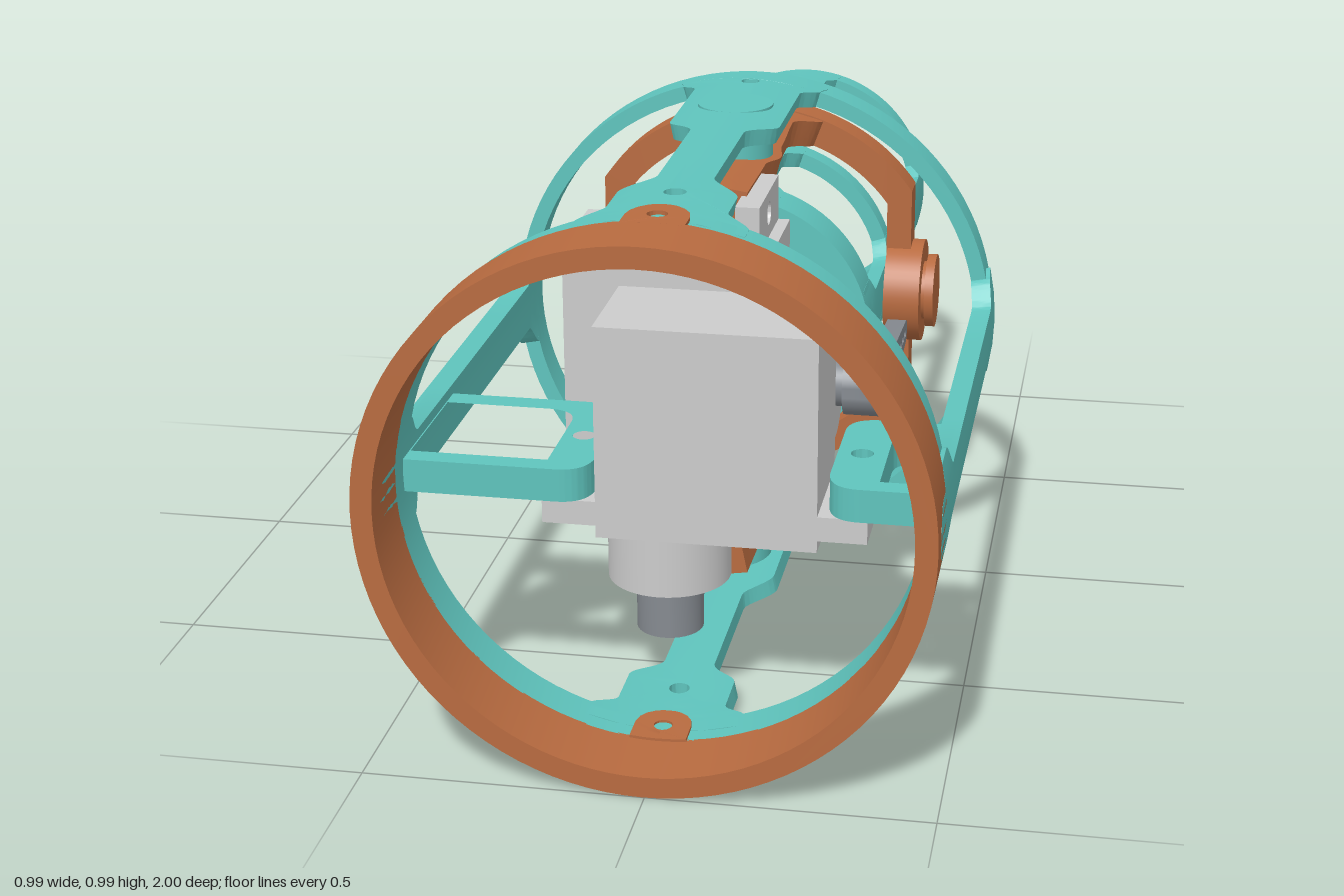
import * as THREE from 'three';
import { toCreasedNormals } from 'three/addons/utils/BufferGeometryUtils.js';

const mat = (color) => new THREE.MeshStandardMaterial({ color });

export function createModel() {
  const model = new THREE.Group();
  const teal = mat(0x5fc4bd), orange = mat(0xb86b40), grey = mat(0xcccccc), dark = mat(0x858a90);

  const add = (parent, name, geo, material, x = 0, y = 0, z = 0) => {
    const m = new THREE.Mesh(geo, material);
    m.name = name;
    m.position.set(x, y, z);
    parent.add(m);
    return m;
  };
  const group = (name, x = 0, y = 0, z = 0) => {
    const g = new THREE.Group();
    g.name = name;
    g.position.set(x, y, z);
    model.add(g);
    return g;
  };
  const circle = (x, y, r) => new THREE.Path().absarc(x, y, r, 0, Math.PI * 2, true);
  const extrude = (shape, depth, curveSegments = 32) => toCreasedNormals(
    new THREE.ExtrudeGeometry(shape, { depth, bevelEnabled: false, curveSegments }), 0.5);
  const box = (x0, x1, y0, y1, z0, z1) =>
    new THREE.BoxGeometry(x1 - x0, y1 - y0, z1 - z0)
      .translate((x0 + x1) / 2, (y0 + y1) / 2, (z0 + z1) / 2);
  const rod = (r, y0, y1) =>
    new THREE.CylinderGeometry(r, r, y1 - y0, 48).translate(0, (y0 + y1) / 2, 0);

  // Flat annulus around the z axis (ri = 0 gives a disc)
  const ring = (ro, ri, z0, z1) => {
    const s = new THREE.Shape().absarc(0, 0, ro, 0, Math.PI * 2);
    if (ri) s.holes.push(circle(0, 0, ri));
    return extrude(s, z1 - z0, 48).translate(0, 0, z0);
  };

  // Split every triangle in four, so that flat plates can be bent
  const subdivide = (pts) => {
    const out = [];
    for (let i = 0; i < pts.length; i += 3) {
      const [a, b, c] = pts.slice(i, i + 3);
      const ab = a.clone().lerp(b, 0.5), bc = b.clone().lerp(c, 0.5), ca = c.clone().lerp(a, 0.5);
      out.push(a, ab, ca, ab, b, bc, ca, bc, c, ab, bc, ca);
    }
    return out;
  };

  // Strip along z, wrapped on a cylinder at the given angle.
  // profile: [z, half width] stations blended smoothly; holes: [z, radius]
  const strip = (ri, ro, angle, profile, holes = []) => {
    const side = [];
    for (let i = 0; i < profile.length - 1; i++) {
      const [z0, w0] = profile[i], [z1, w1] = profile[i + 1];
      const n = w0 === w1 || z1 - z0 < 0.03 ? 1 : 8;
      for (let k = 0; k < n; k++) {
        const t = k / n;
        side.push(new THREE.Vector2(w0 + (w1 - w0) * t * t * (3 - 2 * t), z0 + (z1 - z0) * t));
      }
    }
    const [zEnd, wEnd] = profile[profile.length - 1];
    side.push(new THREE.Vector2(wEnd, zEnd));
    const other = side.map((p) => new THREE.Vector2(-p.x, p.y)).reverse();
    const shape = new THREE.Shape([...side, ...other]);
    holes.forEach(([z, r]) => shape.holes.push(circle(0, z, r)));
    const flat = new THREE.ExtrudeGeometry(shape, { depth: ro - ri, bevelEnabled: false, curveSegments: 10 });
    const p = flat.attributes.position;
    const corners = [];
    for (let i = 0; i < p.count; i++) corners.push(new THREE.Vector3().fromBufferAttribute(p, i));
    const bent = subdivide(subdivide(corners)).map((v) => {
      const r = ri + v.z, a = angle + v.x / ro;
      return new THREE.Vector3(r * Math.cos(a), r * Math.sin(a), v.y);
    });
    return toCreasedNormals(new THREE.BufferGeometry().setFromPoints(bent), 0.5);
  };
  // Half-round end of a tab
  const roundEnd = (z, w, dir) => [0.4, 0.7, 0.9, 0.98].map((t) => [z + dir * w * t, w * Math.sqrt(1 - t * t)]);

  // Outer cage: two rings joined by four strips
  const cage = group('outerCage', -0.003, 0.495);
  add(cage, 'cageRearRing', ring(0.485, 0.455, -0.183, -0.113), teal);
  add(cage, 'cageFrontRing', ring(0.485, 0.455, 0.785, 0.865), teal);
  const padProfile = [[-0.15, 0.15], [-0.115, 0.14], [-0.06, 0.105], [0.19, 0.105], [0.27, 0.05],
    [0.57, 0.05], [0.65, 0.105], [0.74, 0.105], [0.79, 0.15], [0.83, 0.15]];
  const railProfile = [[-0.15, 0.11], [-0.115, 0.1], [-0.06, 0.05], [0.73, 0.05], [0.79, 0.1],
    [0.862, 0.1], [0.866, 0.052], [0.9, 0.052], ...roundEnd(0.9, 0.052, 1)];
  for (const a of [0, Math.PI]) {
    add(cage, 'pivotRail', strip(0.455, 0.486, a + Math.PI / 2, padProfile, [[-0.1, 0.018], [0.67, 0.02]]), teal);
    add(cage, 'sideRail', strip(0.455, 0.493, a, railProfile), teal);
    add(cage, 'pivotPin', rod(0.072, 0.335, 0.486), teal, 0, 0, 0.07).rotation.x = a;
  }

  // Front collar with two screw tabs
  add(cage, 'frontCollar', ring(0.493, 0.455, 0.862, 1), orange);
  for (const a of [Math.PI / 2, -Math.PI / 2]) {
    const tab = [...roundEnd(0.82, 0.055, -1).reverse(), [0.82, 0.055], [0.87, 0.055]];
    add(cage, 'collarTab', strip(0.45, 0.493, a, tab, [[0.82, 0.018]]), orange);
  }

  // Looped brackets carrying the front servo, drawn in plan (shape y = -z)
  const bracket = (name, inner, bar, outer) => {
    const d = Math.sign(outer - inner), r = 0.06 * d;
    const s = new THREE.Shape();
    s.moveTo(outer, -0.5).lineTo(inner + r, -0.5);
    s.quadraticCurveTo(inner, -0.5, inner, -0.56);
    s.lineTo(inner, -0.75).quadraticCurveTo(inner, -0.82, inner + r, -0.82);
    s.lineTo(outer, -0.82).closePath();
    const h = new THREE.Path(), i = inner + bar * d, o = outer - 0.01 * d;
    h.moveTo(o, -0.545).lineTo(i + r, -0.545).quadraticCurveTo(i, -0.545, i, -0.6);
    h.lineTo(i, -0.78).lineTo(o, -0.78).closePath();
    s.holes.push(h, circle(inner + 0.043 * d, -0.66, 0.02));
    add(model, name, extrude(s, 0.06).rotateX(-Math.PI / 2), teal, 0, 0.46, 0);
  };
  bracket('rightServoBracket', -0.13, 0.08, -0.465);
  bracket('leftServoBracket', 0.28, 0.088, 0.46);

  // Gimbal yoke: flat-sided ring with arms reaching forward
  const yoke = group('gimbalYoke', -0.013, 0.5);
  const outline = (Type, r, half) => {
    const a = Math.acos(half / r);
    return new Type().absarc(0, 0, r, a, Math.PI - a).absarc(0, 0, r, Math.PI + a, 2 * Math.PI - a).closePath();
  };
  const yokeShape = outline(THREE.Shape, 0.392, 0.32);
  yokeShape.holes.push(outline(THREE.Path, 0.335, 0.27));
  add(yoke, 'yokeRing', extrude(yokeShape, 0.068).translate(0, 0, -0.312), orange);
  const armProfile = [[-0.3, 0.15], [-0.25, 0.14], [-0.17, 0.085], [0, 0.09], [0.07, 0.1], [0.14, 0.08], [0.33, 0.078]];
  add(yoke, 'upperArm', strip(0.335, 0.39, Math.PI / 2, armProfile), orange);
  add(yoke, 'lowerArm', strip(0.33, 0.388, -Math.PI / 2, armProfile), orange);
  add(yoke, 'upperServoMount', box(-0.077, 0.068, 0.29, 0.375, 0.22, 0.33), orange);
  add(yoke, 'lowerServoPost', box(-0.077, 0.068, -0.36, -0.2, 0.262, 0.33), orange);
  add(yoke, 'lowerServoFoot', box(-0.077, 0.068, -0.258, -0.2, 0.262, 0.432), orange);
  for (const s of [1, -1]) {
    const hub = new THREE.Group();
    hub.name = 'sidePivot';
    hub.position.set(0, 0.005, -0.28);
    hub.rotation.z = -s * Math.PI / 2;
    add(hub, 'pivotBoss', rod(0.105, 0.272, 0.345), orange);
    add(hub, 'pivotNeck', rod(0.06, 0.345, 0.356), orange);
    add(hub, 'pivotCap', rod(0.075, 0.353, 0.371), orange);
    yoke.add(hub);
  }

  // Inner barrel: closed stepped front, open rear frame
  const barrel = group('innerBarrel', -0.018, 0.507);
  add(barrel, 'frontDisc', ring(0.275, 0, -0.065, 0.035), teal);
  add(barrel, 'discStep', ring(0.212, 0, -0.11, -0.06), teal);
  add(barrel, 'discHub', ring(0.155, 0, -0.198, -0.1), teal);
  add(barrel, 'middleRing', ring(0.275, 0.245, -0.39, -0.34), teal);
  add(barrel, 'rearRing', ring(0.275, 0.245, -1, -0.952), teal);
  for (let i = 0; i < 4; i++) {
    add(barrel, 'barrelRail', strip(0.245, 0.2755, i * Math.PI / 2,
      [[-0.99, 0.08], [-0.95, 0.075], [-0.92, 0.053], [-0.43, 0.053], [-0.385, 0.09],
        [-0.345, 0.09], [-0.3, 0.053], [-0.11, 0.053], [-0.06, 0.09], [0.02, 0.09]]), teal);
  }

  // Servo: output axis along local +y, body offset along x, horn along +z
  const makeServo = (name, x, y, z) => {
    const g = group(name, x, y, z);
    add(g, 'servoBody', box(-0.11, 0.28, -0.39, 0, -0.11, 0.11), grey);
    const plate = new THREE.Shape();
    plate.moveTo(-0.205, -0.11).lineTo(0.367, -0.11).lineTo(0.367, 0.11).lineTo(-0.205, 0.11).closePath();
    plate.holes.push(circle(-0.165, 0, 0.022), circle(0.325, 0, 0.022));
    add(g, 'servoFlange', extrude(plate, 0.045).rotateX(-Math.PI / 2), grey, 0, -0.067, 0);
    add(g, 'gearTurret', rod(0.11, 0, 0.107), grey);
    add(g, 'outputShaft', rod(0.045, 0.1, 0.13), dark);
    const collar = [[0, 0.125], [0.06, 0.125], [0.06, 0.21], [0.025, 0.21], [0.025, 0.19], [0, 0.19]]
      .map(([r, h]) => new THREE.Vector2(r, h));
    add(g, 'hornCollar', toCreasedNormals(new THREE.LatheGeometry(collar, 40), 0.5), dark);
    // Tapered horn with a row of holes
    const horn = new THREE.Shape();
    horn.moveTo(-0.05, 0).lineTo(-0.024, -0.295).absarc(0, -0.295, 0.024, Math.PI, Math.PI * 2);
    horn.lineTo(0.05, 0).closePath();
    for (let i = 0; i < 6; i++) horn.holes.push(circle(0, -0.1 - i * 0.037, 0.009));
    add(g, 'servoHorn', extrude(horn, 0.037, 12).rotateX(-Math.PI / 2), dark, 0, 0.168, 0);
    return g;
  };
  makeServo('frontServo', -0.02, 0.375, 0.66).rotation.x = Math.PI;
  const rear = makeServo('rearServo', 0.12, 0.508, 0.29);
  rear.quaternion.setFromRotationMatrix(new THREE.Matrix4().makeBasis(
    new THREE.Vector3(0, 1, 0), new THREE.Vector3(1, 0, 0), new THREE.Vector3(0, 0, -1)));

  return model;
}
